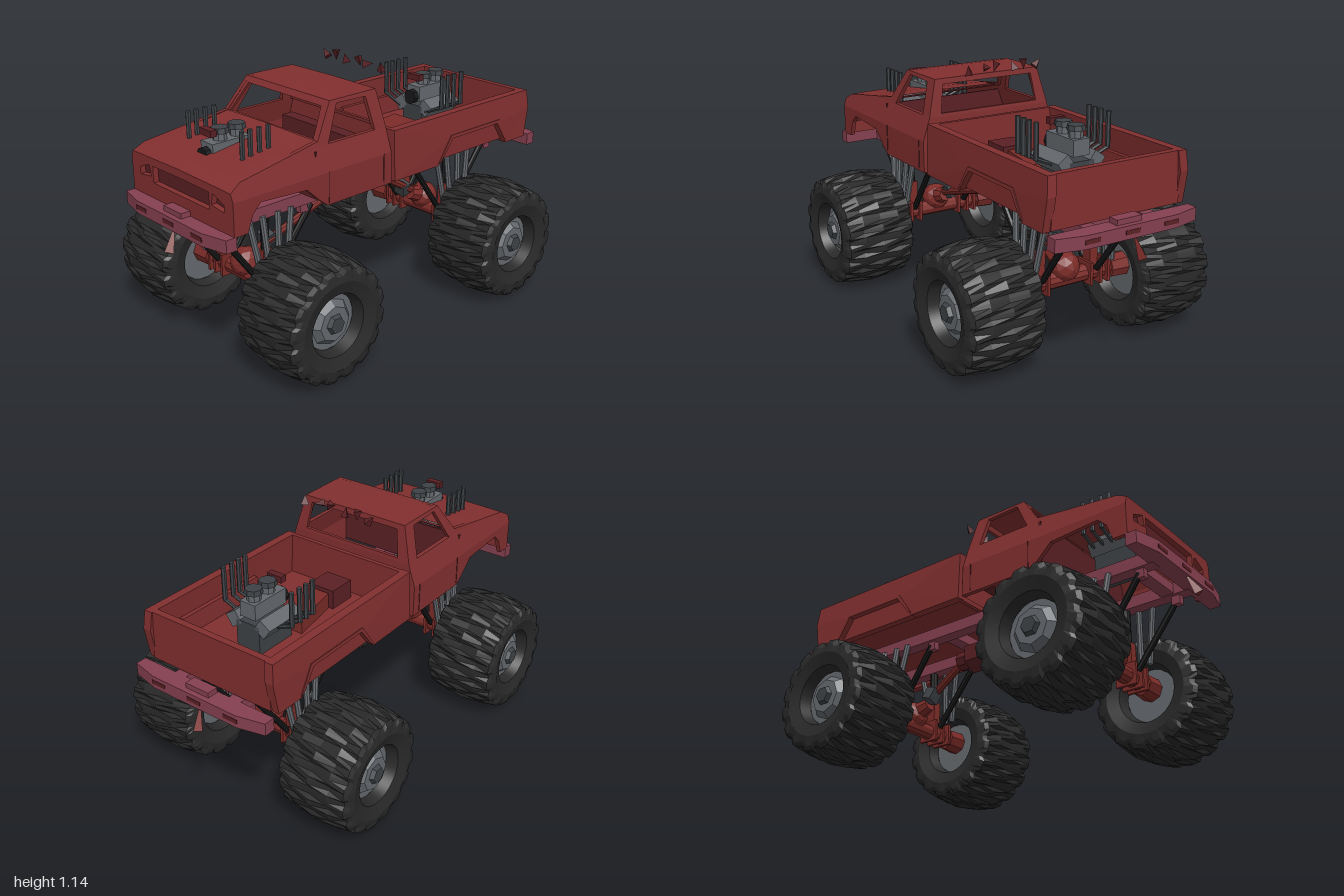
import * as THREE from 'three';

const paint = (name, color) => new THREE.MeshStandardMaterial({ name, color, flatShading: true, side: THREE.DoubleSide });
const red = paint('body red', 0x822f2f);
const axleRed = paint('axle red', 0x7c2c28);
const darkRed = paint('dark red', 0x5a2024);
const pink = paint('frame rose', 0x864050);
const rubber = paint('tyre black', 0x292929);
const black = paint('black', 0x18181a);
const steel = paint('steel grey', 0x65696e);
const darkSteel = paint('dark steel', 0x3e4246);

const V = (x, y, z) => new THREE.Vector3(x, y, z);

function add(parent, name, geo, mat, x = 0, y = 0, z = 0) {
  const m = new THREE.Mesh(geo, mat);
  m.name = name;
  m.position.set(x, y, z);
  parent.add(m);
  return m;
}
const box = (p, name, mat, w, h, d, x, y, z) => add(p, name, new THREE.BoxGeometry(w, h, d), mat, x, y, z);

// tapered rod between two points
function rod(p, name, mat, a, b, r1, r2 = r1, sides = 8) {
  const dir = b.clone().sub(a);
  const m = add(p, name, new THREE.CylinderGeometry(r2, r1, dir.length(), sides), mat);
  m.position.copy(a).add(b).multiplyScalar(0.5);
  m.quaternion.setFromUnitVectors(V(0, 1, 0), dir.normalize());
  return m;
}

const shapeOf = pts => new THREE.Shape(pts.map(p => new THREE.Vector2(...p)));

// half width of the bodywork at a given height
function halfWidth(y) {
  if (y <= 0.8) return 0.343;
  if (y <= 0.9) return 0.343 - (y - 0.8) * 0.33;
  return 0.31 - (y - 0.9) * 0.26;
}

// pair of side panels drawn as [z, y], bent to the body width
function sidePanels(p, name, mat, pts, hole, thick = 0.02, width = halfWidth, out = 0) {
  const s = shapeOf(pts);
  if (hole) s.holes.push(new THREE.Path(hole.map(q => new THREE.Vector2(...q))));
  const g = new THREE.ExtrudeGeometry(s, { depth: thick, bevelEnabled: false });
  const a = g.attributes.position;
  for (let i = 0; i < a.count; i++) {
    const z = a.getX(i), y = a.getY(i), w = a.getZ(i);
    a.setXYZ(i, width(y) + out - w, y, z);
  }
  g.computeVertexNormals();
  for (const side of [1, -1]) add(p, name, g, mat).scale.x = side;
}

// sheet spanning the body along a [z, y] profile, with a slight crown
function skin(p, name, mat, prof, crown = 0) {
  const xs = [-1, -0.8, 0, 0.8, 1], pos = [], idx = [];
  for (const [z, y] of prof) for (const t of xs) pos.push(t * halfWidth(y), y + crown * (1 - t * t), z);
  for (let i = 0; i < prof.length - 1; i++) for (let j = 0; j < 4; j++) {
    const a = i * 5 + j, b = a + 5;
    idx.push(a, a + 1, b + 1, a, b + 1, b);
  }
  const g = new THREE.BufferGeometry();
  g.setAttribute('position', new THREE.Float32BufferAttribute(pos, 3));
  g.setIndex(idx);
  g.computeVertexNormals();
  return add(p, name, g, mat);
}

// window surround: [halfX, y] corners bottom/top, leaning between two depths
function windowFrame(p, name, bottom, top, inBottom, inTop, zBottom, zTop) {
  const ring = (b, t) => [[-b[0], b[1]], [b[0], b[1]], [t[0], t[1]], [-t[0], t[1]]];
  const s = shapeOf(ring(bottom, top));
  s.holes.push(new THREE.Path(ring(inBottom, inTop).map(q => new THREE.Vector2(...q))));
  const g = new THREE.ExtrudeGeometry(s, { depth: 0.015, bevelEnabled: false });
  const a = g.attributes.position;
  for (let i = 0; i < a.count; i++) {
    const k = (a.getY(i) - bottom[1]) / (top[1] - bottom[1]);
    a.setZ(i, a.getZ(i) - 0.015 + zBottom + (zTop - zBottom) * k);
  }
  g.computeVertexNormals();
  add(p, name, g, red);
}

function tyreGeometry() {
  const half = [[0.12, 0.11], [0.135, 0.16], [0.19, 0.178], [0.232, 0.172], [0.25, 0.16], [0.262, 0.09]];
  const pts = [...half.map(([r, a]) => [r, -a]), [0.272, 0], ...half.slice().reverse()];
  const g = new THREE.LatheGeometry(pts.map(q => new THREE.Vector2(...q)), 96);
  const a = g.attributes.position;
  // chevron lugs: lower the tread in swept grooves
  for (let i = 0; i < a.count; i++) {
    const x = a.getX(i), y = a.getY(i), z = a.getZ(i), r = Math.hypot(x, z);
    if (r < 0.22) continue;
    const phase = Math.atan2(x, z) / (2 * Math.PI) * 16 + Math.abs(y) * 7 + 32.01;
    const k = phase % 1 < 0.4 ? 1 - 0.016 / r : 1;
    a.setXYZ(i, x * k, y, z * k);
  }
  g.rotateZ(-Math.PI / 2);
  g.computeVertexNormals();
  return g;
}

function wheel(p, tyre, side, z) {
  const w = new THREE.Group();
  w.name = 'wheel';
  w.position.set(side * 0.423, 0.271, z);
  if (side < 0) w.scale.x = -1;
  add(w, 'tyre', tyre, rubber);
  const disc = (name, mat, r1, r2, len, x, n) => add(w, name, new THREE.CylinderGeometry(r1, r2, len, n).rotateZ(-Math.PI / 2), mat, x);
  disc('rim', steel, 0.125, 0.125, 0.22, 0, 10);
  disc('hubPlate', steel, 0.075, 0.1, 0.03, 0.125, 8);
  disc('hubCap', darkSteel, 0.035, 0.045, 0.02, 0.148, 6);
  p.add(w);
}

// axle, suspension arms and dampers for one end
function axle(p, z, inward) {
  const g = new THREE.Group();
  g.name = 'axle';
  p.add(g);
  rod(g, 'axleTube', axleRed, V(-0.3, 0.295, z), V(0.3, 0.295, z), 0.037, 0.037, 10);
  add(g, 'differential', new THREE.IcosahedronGeometry(0.068, 1), axleRed, 0, 0.345, z);
  rod(g, 'differentialNose', axleRed, V(0, 0.35, z), V(0, 0.38, z + inward * 0.1), 0.05, 0.03);
  for (const s of [1, -1]) {
    rod(g, 'axleEnd', axleRed, V(s * 0.225, 0.295, z), V(s * 0.31, 0.295, z), 0.05, 0.055, 8);
    for (const x of [0.11, 0.16, 0.2]) box(g, 'axleBracket', axleRed, 0.014, 0.1, 0.1, s * x, 0.3, z);
    box(g, 'lowerArm', axleRed, 0.04, 0.18, 0.05, s * 0.135, 0.36, z);
    rod(g, 'springStrut', black, V(s * 0.135, 0.43, z), V(s * 0.135, 0.61, z), 0.018);
    for (const d of [1, -1]) rod(g, 'brace', black, V(s * 0.14, 0.32, z + d * 0.04), V(s * 0.15, 0.59, z + d * 0.24), 0.014);
    for (const d of [-0.11, -0.04, 0.04, 0.11])
      rod(g, 'damper', steel, V(s * 0.197, 0.36, z + d * 0.6), V(s * 0.175, 0.62, z + d), 0.014);
  }
  rod(g, 'driveShaft', axleRed, V(0, 0.39, z + inward * 0.08), V(-0.02, 0.53, -0.09 - inward * 0.12), 0.018);
  box(g, 'shaftJoint', darkSteel, 0.06, 0.06, 0.05, -0.02, 0.41, z + inward * 0.13).rotation.set(0.3, 0, -0.3);
}

// supercharged engine with twin rows of exhaust stacks
function engine(p, z, stackZ) {
  const g = new THREE.Group();
  g.name = 'engine';
  p.add(g);
  box(g, 'block', darkSteel, 0.12, 0.13, 0.2, 0, 0.765, z);
  box(g, 'blower', steel, 0.08, 0.07, 0.19, 0, 0.885, z);
  for (const s of [1, -1]) {
    box(g, 'cylinderHead', steel, 0.06, 0.06, 0.2, s * 0.075, 0.825, z).rotation.z = -s * 0.6;
    for (const q of stackZ) {
      rod(g, 'header', darkSteel, V(s * 0.08, 0.81, q), V(s * 0.178, 0.85, q), 0.009, 0.009, 6);
      rod(g, 'exhaustStack', darkSteel, V(s * 0.178, 0.845, q), V(s * 0.178, 1.0, q), 0.011, 0.011, 6);
    }
  }
  for (const d of [-0.055, 0.03]) {
    rod(g, 'carburettor', steel, V(0, 0.91, z + d), V(0, 0.955, z + d), 0.03);
    rod(g, 'airCleaner', darkSteel, V(0, 0.95, z + d), V(0, 0.972, z + d), 0.04, 0.036, 8);
  }
  rod(g, 'pulley', black, V(0, 0.87, z + 0.095), V(0, 0.87, z + 0.12), 0.035);
  box(g, 'scoop', darkRed, 0.075, 0.028, 0.03, 0, 0.962, z + 0.085);
}

export function createModel() {
  const model = new THREE.Group();
  const part = name => { const g = new THREE.Group(); g.name = name; model.add(g); return g; };

  // Cab and bonnet
  const cab = part('cab');
  sidePanels(cab, 'lowerSide', red, [[0.056, 0.66], [0.42, 0.66], [0.46, 0.69], [0.53, 0.755], [0.76, 0.77], [0.8, 0.73], [0.825, 0.66], [0.87, 0.66], [0.89, 0.8], [0.06, 0.8]]);
  sidePanels(cab, 'upperSide', red, [[0.06, 0.8], [0.89, 0.8], [0.893, 0.835], [0.84, 0.865], [0.6, 0.9], [0.06, 0.9]]);
  sidePanels(cab, 'pillars', red, [[0.06, 0.9], [0.6, 0.9], [0.437, 0.925], [0.34, 1.065], [0.083, 1.065]], [[0.125, 0.905], [0.145, 1.045], [0.305, 1.05], [0.385, 0.905]]);
  for (const z of [0.1, 0.41]) sidePanels(cab, 'doorSeam', darkRed, [[z, 0.67], [z + 0.005, 0.67], [z + 0.005, 0.8], [z, 0.8]], null, 0.004, halfWidth, 0.002);
  skin(cab, 'bonnet', red, [[0.893, 0.8], [0.893, 0.835], [0.84, 0.865], [0.6, 0.9], [0.53, 0.905], [0.437, 0.922]], 0.006);
  skin(cab, 'roof', red, [[0.34, 1.062], [0.3, 1.066], [0.083, 1.065]], 0.003);
  skin(cab, 'rearWall', red, [[0.06, 0.9], [0.058, 0.8], [0.056, 0.66]]);
  windowFrame(cab, 'windscreenFrame', [0.305, 0.915], [0.267, 1.065], [0.272, 0.922], [0.235, 1.04], 0.44, 0.34);
  windowFrame(cab, 'rearWindowFrame', [0.31, 0.9], [0.267, 1.065], [0.25, 0.915], [0.23, 1.04], 0.075, 0.098);
  box(cab, 'firewall', darkRed, 0.64, 0.2, 0.01, 0, 0.79, 0.46);
  box(cab, 'seat', darkRed, 0.5, 0.14, 0.06, 0, 0.78, 0.13);

  // Front panel with grille and lamp recesses
  const face = shapeOf([[-0.343, 0.66], [0.343, 0.66], [0.343, 0.8], [0.3, 0.815], [-0.3, 0.815], [-0.343, 0.8]]);
  const openings = [[[-0.19, 0.73], [0.19, 0.73], [0.19, 0.805], [-0.19, 0.805]]];
  for (const s of [1, -1]) openings.push([[s * 0.205, 0.755], [s * 0.285, 0.745], [s * 0.285, 0.775], [s * 0.215, 0.805]]);
  for (const o of openings) face.holes.push(new THREE.Path(o.map(q => new THREE.Vector2(...q))));
  add(cab, 'frontPanel', new THREE.ExtrudeGeometry(face, { depth: 0.025, bevelEnabled: false }), red, 0, 0, 0.866);
  box(cab, 'grilleBack', darkRed, 0.6, 0.09, 0.01, 0, 0.765, 0.86);

  // Cargo bed
  const bed = part('bed');
  const bedWidth = y => 0.343 - Math.max(0, y - 0.77) * 0.08;
  const arch = [[-0.7, 0.68], [-0.64, 0.77], [-0.33, 0.77], [-0.26, 0.68]];
  sidePanels(bed, 'bedSide', red, [[0.035, 0.66], [0.035, 0.885], [-0.865, 0.885], [-0.875, 0.8], [-0.85, 0.66], [-0.71, 0.66], ...arch, [-0.24, 0.66]], null, 0.04, bedWidth);
  sidePanels(bed, 'archLip', red, [[-0.72, 0.67], [-0.655, 0.785], [-0.32, 0.785], [-0.24, 0.67], ...arch.slice().reverse()], null, 0.02, bedWidth, 0.004);
  for (const s of [1, -1]) box(bed, 'wheelTub', red, 0.035, 0.11, 0.46, s * 0.3, 0.73, -0.48);
  box(bed, 'bedFloor', red, 0.62, 0.015, 0.87, 0, 0.69, -0.41);
  box(bed, 'bedFront', red, 0.64, 0.225, 0.02, 0, 0.772, 0.022);
  box(bed, 'tailgate', red, 0.62, 0.22, 0.03, 0, 0.775, -0.845);
  const tunnel = shapeOf([[-0.09, 0.4], [0.09, 0.4], [0.045, 0.16], [-0.045, 0.16]]);
  add(bed, 'gearboxCover', new THREE.ExtrudeGeometry(tunnel, { depth: 0.07, bevelEnabled: false }).rotateX(-Math.PI / 2), axleRed, 0, 0.7, 0);
  box(bed, 'transferBox', darkRed, 0.13, 0.09, 0.13, 0, 0.74, -0.09);

  // Chassis
  const frame = part('chassis');
  for (const s of [1, -1]) {
    box(frame, 'rail', pink, 0.06, 0.055, 1.8, s * 0.145, 0.632, 0);
    for (const z of [0.83, 0.39, 0.24, -0.28, -0.8]) box(frame, 'railTab', pink, 0.03, 0.06, 0.04, s * 0.145, 0.595, z);
  }
  for (const z of [0.8, 0.37, 0.02, -0.2, -0.75]) box(frame, 'crossMember', pink, 0.3, 0.045, 0.06, 0, 0.632, z);
  for (const s of [1, -1]) {
    const plan = shapeOf([[-0.343, 0.88], [0.343, 0.88], [0.343, 0.93], [0.22, 0.958], [-0.22, 0.958], [-0.343, 0.93]]);
    const bumper = new THREE.Group();
    bumper.name = 'bumper';
    bumper.rotation.y = s > 0 ? 0 : Math.PI;
    frame.add(bumper);
    add(bumper, 'bumperBar', new THREE.ExtrudeGeometry(plan, { depth: 0.055, bevelEnabled: false }).rotateX(Math.PI / 2), pink, 0, 0.662, 0);
    for (const x of [-0.19, 0, 0.19]) box(bumper, 'bumperSlot', darkRed, 0.07, 0.018, 0.004, x, 0.635, 0.958);
    box(bumper, 'bumperMount', pink, 0.12, 0.025, 0.05, 0, 0.672, 0.91);
    rod(bumper, 'towSpike', axleRed, V(0.035, 0.525, 0.985), V(0.02, 0.61, 0.945), 0.022, 0.004, 3);
  }
  rod(frame, 'transferCase', darkRed, V(-0.025, 0.53, 0.07), V(-0.025, 0.53, -0.21), 0.045, 0.045, 8);
  rod(frame, 'transferCaseBody', darkRed, V(-0.025, 0.53, -0.05), V(-0.025, 0.53, -0.14), 0.075, 0.075, 6);

  // Running gear and engines
  const tyre = tyreGeometry();
  for (const [z, inward] of [[0.585, -1], [-0.525, 1]]) {
    axle(model, z, inward);
    for (const s of [1, -1]) wheel(model, tyre, s, z);
  }
  engine(model, 0.66, [0.585, 0.63, 0.675, 0.715]);
  engine(model, -0.53, [-0.435, -0.475, -0.515, -0.565]);

  // Row of loose roof lamp shells
  const lamps = part('roofLamps');
  [[-0.18, 0.8], [-0.11, 3.14], [-0.052, 0.4], [0.037, 2.7], [0.09, 1.57], [0.17, -0.2]].forEach(([x, turn], i) => {
    const m = add(lamps, 'lampShell', new THREE.ConeGeometry(0.022, 0.045, i ? 3 : 4), darkRed, x, 1.115, -0.045);
    m.rotation.set(0, i, turn);
  });
  return model;
}
